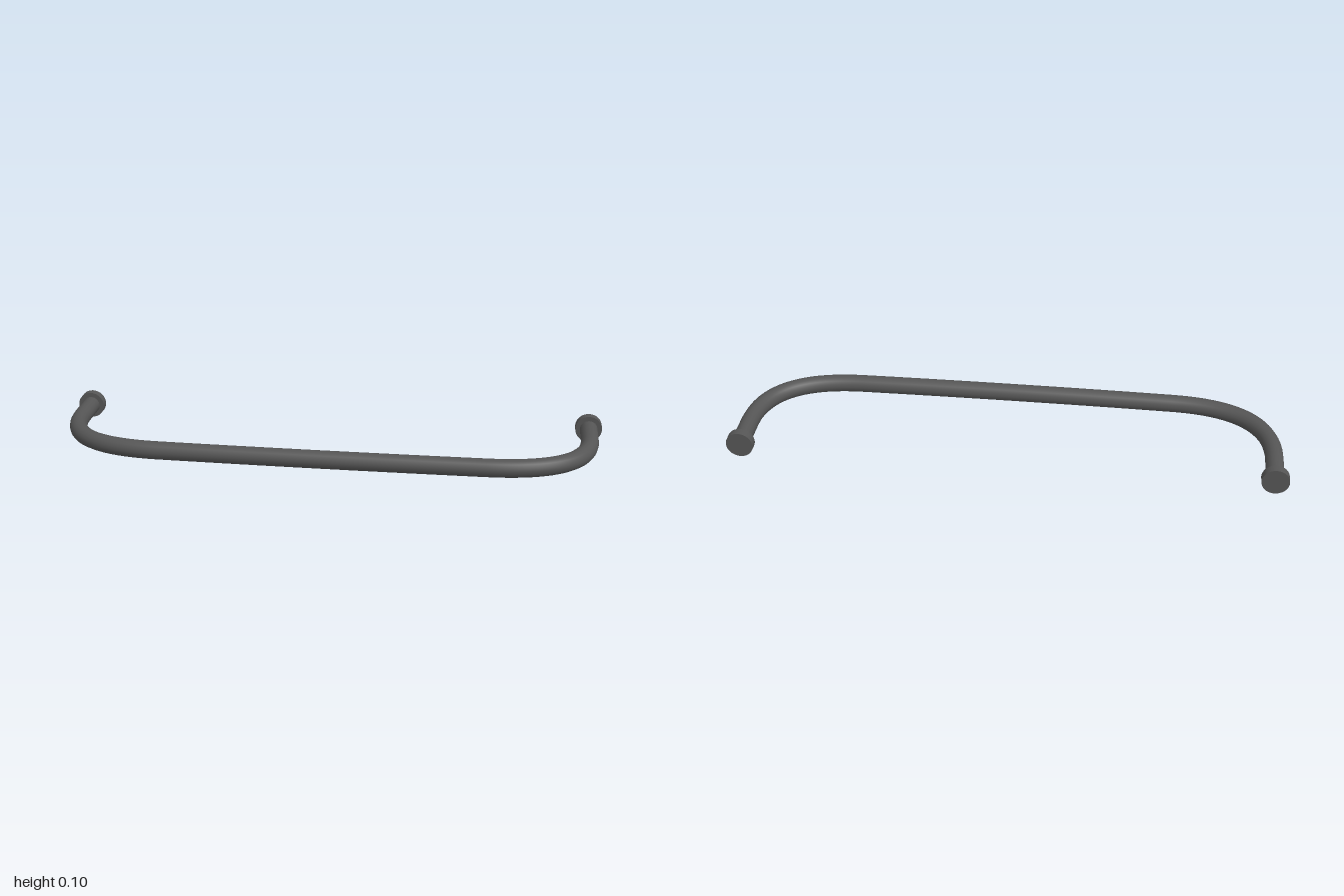
import * as THREE from 'three';

const Y = 0.05, LEG_X = 0.951, BACK = -0.24;
const p = (x, z) => new THREE.Vector3(x, Y, z);

export function createModel() {
  const group = new THREE.Group();
  group.name = 'towelRail';
  const metal = new THREE.MeshStandardMaterial({ color: 0x555555 });

  // Bent bar: leg, corner, slightly bowed front run, corner, leg
  const path = new THREE.CurvePath();
  path.add(new THREE.LineCurve3(p(-LEG_X, BACK + 0.01), p(-LEG_X, -0.1)));
  path.add(new THREE.QuadraticBezierCurve3(p(-LEG_X, -0.1), p(-LEG_X, 0.198), p(-0.58, 0.202)));
  path.add(new THREE.QuadraticBezierCurve3(p(-0.58, 0.202), p(0, 0.211), p(0.58, 0.202)));
  path.add(new THREE.QuadraticBezierCurve3(p(0.58, 0.202), p(LEG_X, 0.198), p(LEG_X, -0.1)));
  path.add(new THREE.LineCurve3(p(LEG_X, -0.1), p(LEG_X, BACK + 0.01)));
  const bar = new THREE.Mesh(new THREE.TubeGeometry(path, 120, 0.0325, 16), metal);
  bar.name = 'bar';
  group.add(bar);

  // Round wall flanges at both ends
  for (const side of [-1, 1]) {
    const flange = new THREE.Mesh(new THREE.CylinderGeometry(0.049, 0.049, 0.031, 32), metal);
    flange.name = side > 0 ? 'leftFlange' : 'rightFlange';
    flange.rotation.x = Math.PI / 2;
    flange.position.set(side * LEG_X, Y, BACK + 0.0155);
    group.add(flange);
  }
  return group;
}
